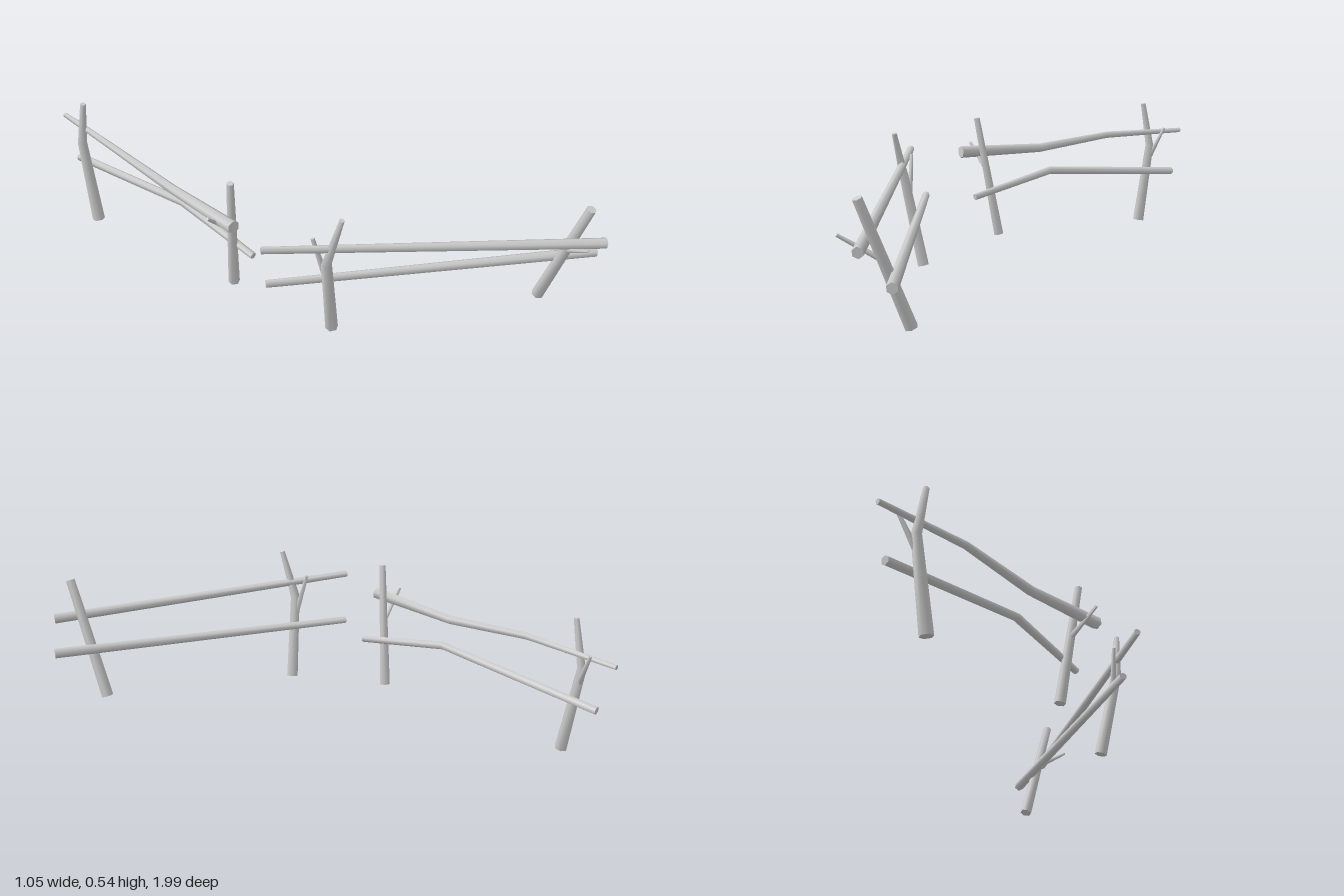
import * as THREE from 'three';
import { toCreasedNormals } from 'three/addons/utils/BufferGeometryUtils.js';

const SIDES = 6;
const UP = new THREE.Vector3(0, 1, 0);

// Tapered, bent log through joints given as [x, y, z, radius]
function log(name, joints) {
  const points = joints.map(([x, y, z]) => new THREE.Vector3(x, y, z));
  const last = points.length - 1;
  const turns = points.map((p, i) => {
    const along = points[Math.min(i + 1, last)].clone().sub(points[Math.max(i - 1, 0)]).normalize();
    return new THREE.Quaternion().setFromUnitVectors(UP, along);
  });

  const geometry = new THREE.CylinderGeometry(1, 1, 1, SIDES, last);
  const position = geometry.attributes.position;
  const v = new THREE.Vector3();
  for (let k = 0; k < position.count; k++) {
    v.fromBufferAttribute(position, k);
    const i = Math.round((v.y + 0.5) * last);
    v.setY(0).multiplyScalar(joints[i][3]).applyQuaternion(turns[i]).add(points[i]);
    position.setXYZ(k, v.x, v.y, v.z);
  }

  const material = new THREE.MeshStandardMaterial({ color: 0xcccccc });
  const mesh = new THREE.Mesh(toCreasedNormals(geometry, 1.2), material);
  mesh.name = name;
  return mesh;
}

function section(name, parts) {
  const group = new THREE.Group();
  group.name = name;
  for (const [part, joints] of Object.entries(parts)) group.add(log(part, joints));
  return group;
}

export function createModel() {
  const model = new THREE.Group();
  model.name = 'rusticFence';

  // Diagonal section at the front
  model.add(section('frontSection', {
    upperRail: [[-0.515, 0.43, 0.28, 0.013], [0.445, 0.342, 0.98, 0.02]],
    lowerRail: [[-0.465, 0.25, 0.245, 0.014], [0.515, 0.236, 0.905, 0.02]],
    outerPost: [[0.38, 0.048, 0.772, 0.023], [0.38, 0.493, 0.945, 0.017]],
    outerTwig: [[0.38, 0.285, 0.865, 0.01], [0.322, 0.372, 0.99, 0.006]],
    innerPost: [[-0.272, 0.03, 0.37, 0.023], [-0.335, 0.35, 0.405, 0.019], [-0.315, 0.538, 0.455, 0.01]],
    innerTwig: [[-0.322, 0.27, 0.395, 0.012], [-0.358, 0.443, 0.362, 0.007]],
  }));

  // Section running straight back
  model.add(section('backSection', {
    upperRail: [[-0.463, 0.403, 0.085, 0.024], [-0.44, 0.385, -0.28, 0.018],
      [-0.435, 0.405, -0.62, 0.014], [-0.402, 0.393, -0.998, 0.01]],
    lowerRail: [[-0.372, 0.236, 0.078, 0.013], [-0.385, 0.298, -0.29, 0.016], [-0.39, 0.217, -0.945, 0.016]],
    nearPost: [[-0.373, 0.07, -0.032, 0.021], [-0.426, 0.54, 0.032, 0.013]],
    nearTwig: [[-0.4, 0.325, 0.0, 0.011], [-0.515, 0.425, 0.01, 0.006]],
    farPost: [[-0.43, 0.008, -0.797, 0.024], [-0.43, 0.335, -0.853, 0.018], [-0.432, 0.523, -0.815, 0.011]],
    farTwig: [[-0.43, 0.27, -0.843, 0.012], [-0.392, 0.413, -0.902, 0.006]],
  }));

  return model;
}
